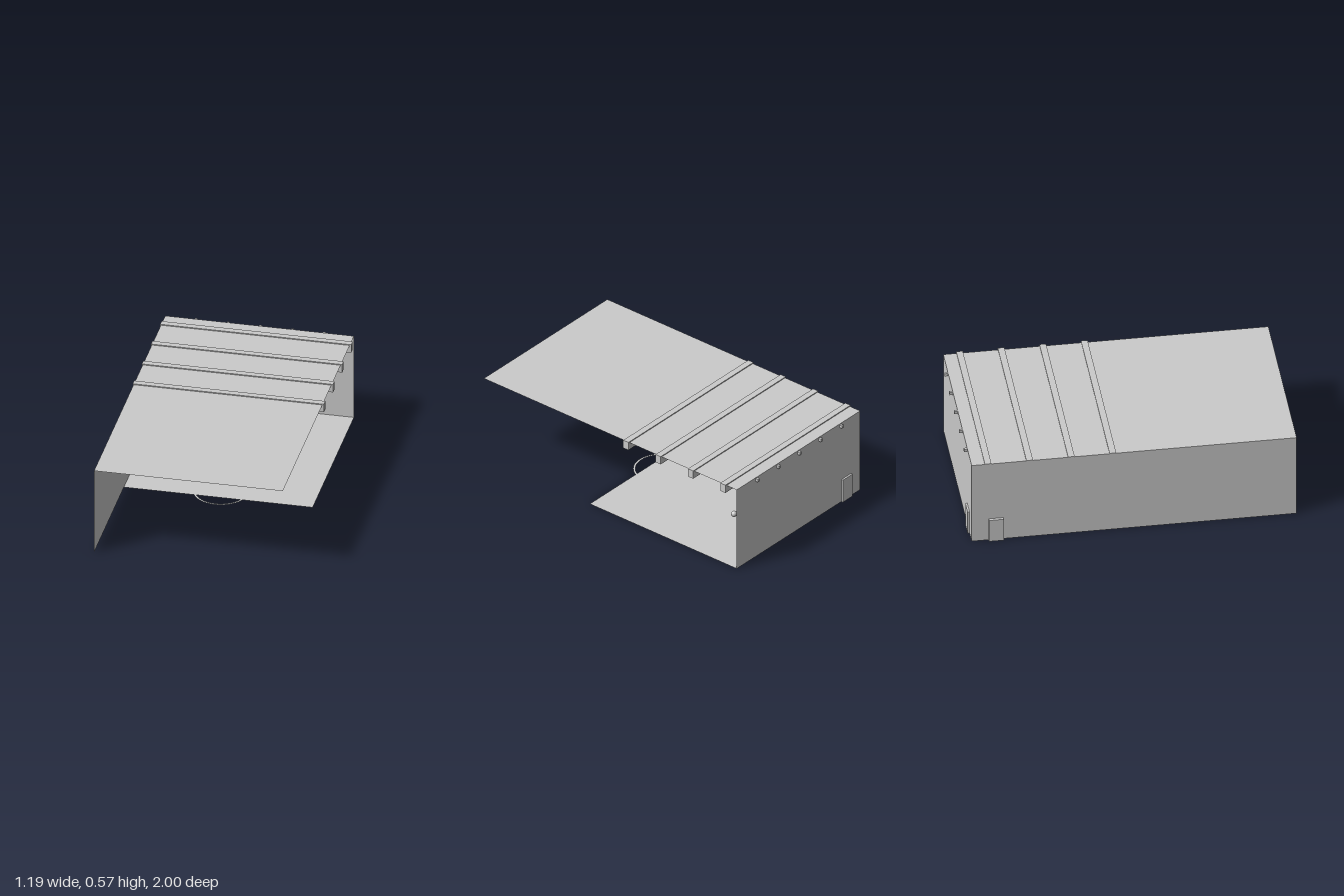
import * as THREE from 'three';

export function createModel() {
  const model = new THREE.Group();
  const grey = new THREE.MeshStandardMaterial({ color: 0xcccccc });
  const sheet = new THREE.MeshStandardMaterial({ color: 0xcccccc, side: THREE.DoubleSide });

  // Hall extents
  const x0 = -0.58, x1 = 0.585, zBack = -0.98, zFront = 1, zCourt = 0.17, height = 0.56;
  const midX = (x0 + x1) / 2, width = x1 - x0;

  function add(name, geometry, material, x, y, z) {
    const mesh = new THREE.Mesh(geometry, material);
    mesh.name = name;
    mesh.position.set(x, y, z);
    model.add(mesh);
    return mesh;
  }

  // Box given by its minimum and maximum along each axis
  function box(name, [ax, bx], [ay, by], [az, bz]) {
    return add(name, new THREE.BoxGeometry(bx - ax, by - ay, bz - az), grey,
      (ax + bx) / 2, (ay + by) / 2, (az + bz) / 2);
  }

  // Thin shell: half-court floor, full roof, back wall and one side wall
  const hallLength = zFront - zBack, floorLength = zCourt - zBack;
  add('floor', new THREE.PlaneGeometry(width, floorLength).rotateX(-Math.PI / 2), sheet,
    midX, 0, (zCourt + zBack) / 2);
  add('roof', new THREE.PlaneGeometry(width, hallLength).rotateX(-Math.PI / 2), sheet,
    midX, height, (zFront + zBack) / 2);
  add('backWall', new THREE.PlaneGeometry(width, height), sheet, midX, height / 2, zBack);
  add('sideWall', new THREE.PlaneGeometry(hallLength, height).rotateY(-Math.PI / 2), sheet,
    x0, height / 2, (zFront + zBack) / 2);

  // Rafters across the roof
  for (const z of [-0.12, -0.373, -0.627, -0.88]) {
    box('rafter', [-0.585, 0.595], [0.511, 0.566], [z - 0.02, z + 0.02]);
  }

  // Slim purlins running lengthwise through the rafters
  for (let i = -2; i <= 2; i++) {
    const x = 0.004 + i * 0.198;
    box('purlin', [x - 0.008, x + 0.008], [0.536, 0.555], [-1, -0.04]);
  }

  // Doors set through the walls
  box('backDoor', [-0.495, -0.402], [0, 0.157], [-0.992, -0.968]);
  box('sideDoor', [-0.598, -0.57], [0, 0.155], [-0.877, -0.787]);

  // Backboard, hoop and ball
  add('backboard', new THREE.PlaneGeometry(0.237, 0.15), sheet, 0.003, 0.345, -0.923);
  add('hoop', new THREE.TorusGeometry(0.033, 0.002, 8, 40).rotateX(Math.PI / 2), grey,
    0.003, 0.335, -0.888);
  add('ball', new THREE.SphereGeometry(0.018, 32, 20), grey, 0.14, 0.02, -0.59);

  // Centre circle painted at floor level, reaching past the floor edge
  add('centreCircle', new THREE.RingGeometry(0.155, 0.168, 64).rotateX(-Math.PI / 2), sheet,
    0.003, 0.0005, 0.095);

  return model;
}
